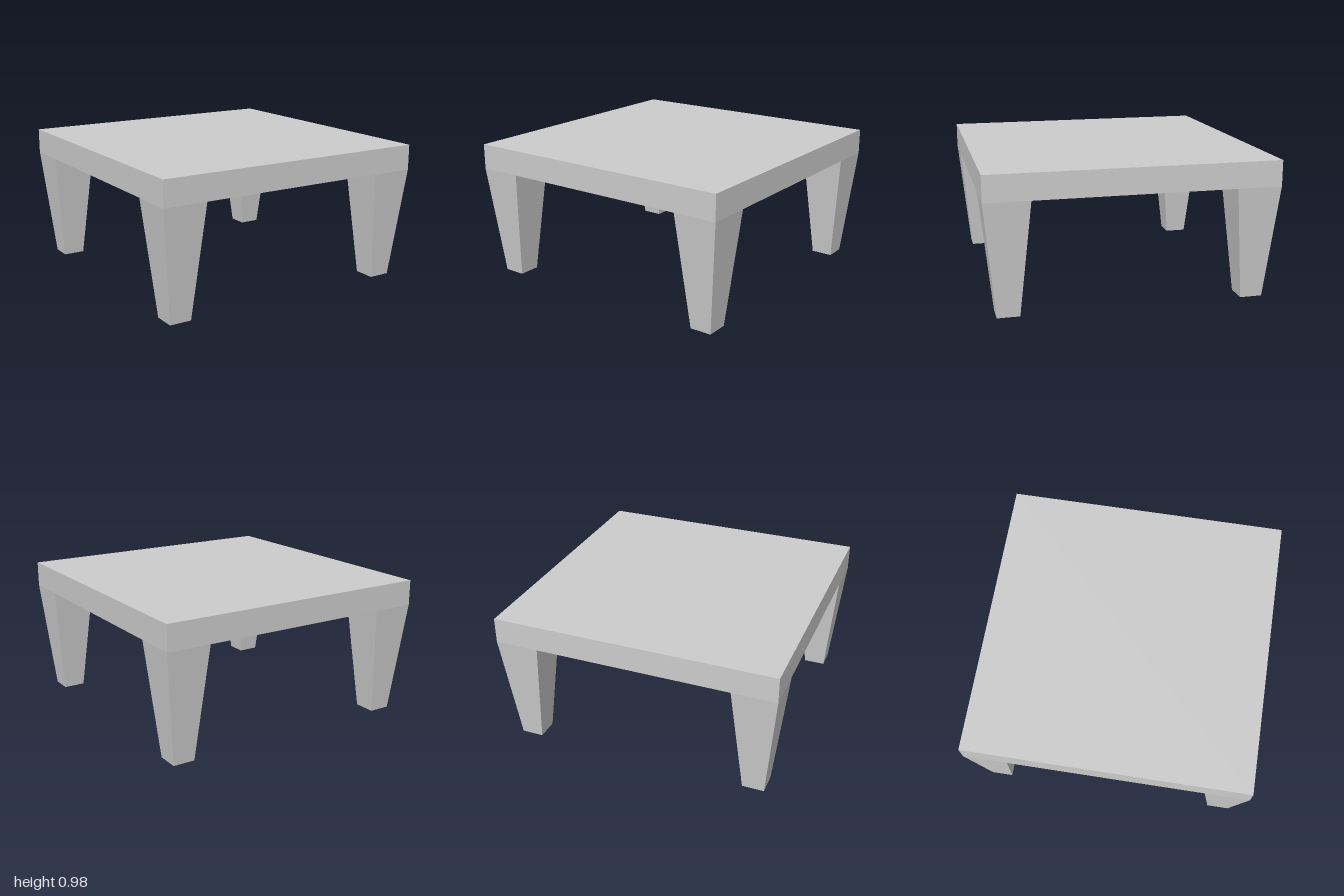
import * as THREE from 'three';

const TOP = 0.975;        // height of the table
const UNDERSIDE = 0.795;  // underside of the slab, where the legs begin
const LEG_TOP = 0.31;     // leg width at the slab
const LEG_FOOT = 0.155;   // leg width at the floor

// Square leg, tapering evenly towards the foot
function legGeometry() {
  const geometry = new THREE.BoxGeometry(LEG_TOP, UNDERSIDE, LEG_TOP);
  const p = geometry.attributes.position;
  const taper = LEG_FOOT / LEG_TOP;
  for (let i = 0; i < p.count; i++) {
    if (p.getY(i) < 0) p.setXYZ(i, p.getX(i) * taper, p.getY(i), p.getZ(i) * taper);
  }
  geometry.translate(0, UNDERSIDE / 2, 0);
  geometry.computeVertexNormals();
  return geometry;
}

export function createModel() {
  const group = new THREE.Group();
  group.name = 'table';
  const material = new THREE.MeshStandardMaterial({ color: 0xcccccc, flatShading: true });

  // Thick square slab
  const thickness = TOP - UNDERSIDE;
  const tabletop = new THREE.Mesh(new THREE.BoxGeometry(2, thickness, 2), material);
  tabletop.name = 'tabletop';
  tabletop.position.y = UNDERSIDE + thickness / 2;
  group.add(tabletop);

  // Four corner legs, flush with the slab's edges at the top
  const geometry = legGeometry();
  const offset = 1 - LEG_TOP / 2;
  for (const [zName, z] of [['front', 1], ['back', -1]]) {
    for (const [xName, x] of [['Left', 1], ['Right', -1]]) {
      const leg = new THREE.Mesh(geometry, material);
      leg.name = `${zName}${xName}Leg`;
      leg.position.set(x * offset, 0, z * offset);
      group.add(leg);
    }
  }
  return group;
}
